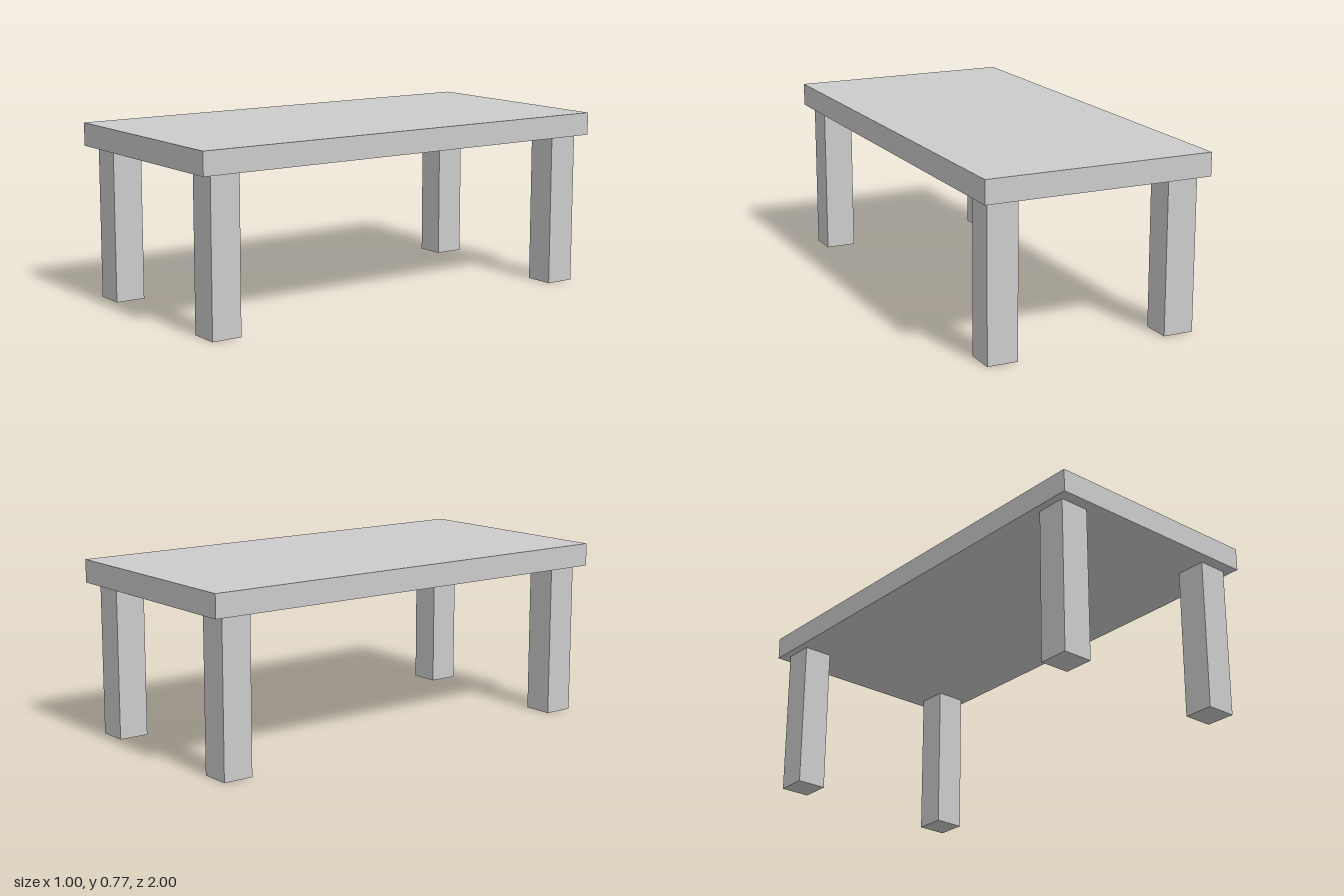
import * as THREE from 'three';

const TOP = { width: 1, height: 0.1, depth: 2 };
const LEG = { size: 0.133, height: 0.667, x: 0.4, z: 0.883 };

export function createModel() {
  const table = new THREE.Group();
  table.name = 'table';
  const material = new THREE.MeshStandardMaterial({ color: 0xcccccc, flatShading: true });

  // Slab resting on the legs
  const top = new THREE.Mesh(new THREE.BoxGeometry(TOP.width, TOP.height, TOP.depth), material);
  top.name = 'tableTop';
  top.position.y = LEG.height + TOP.height / 2;
  table.add(top);

  // Four square legs, mirrored to each corner
  const legGeometry = new THREE.BoxGeometry(LEG.size, LEG.height, LEG.size);
  for (const [end, sz] of [['front', 1], ['back', -1]]) {
    for (const [side, sx] of [['Left', 1], ['Right', -1]]) {
      const leg = new THREE.Mesh(legGeometry, material);
      leg.name = `${end}${side}Leg`;
      leg.position.set(sx * LEG.x, LEG.height / 2, sz * LEG.z);
      table.add(leg);
    }
  }
  return table;
}
